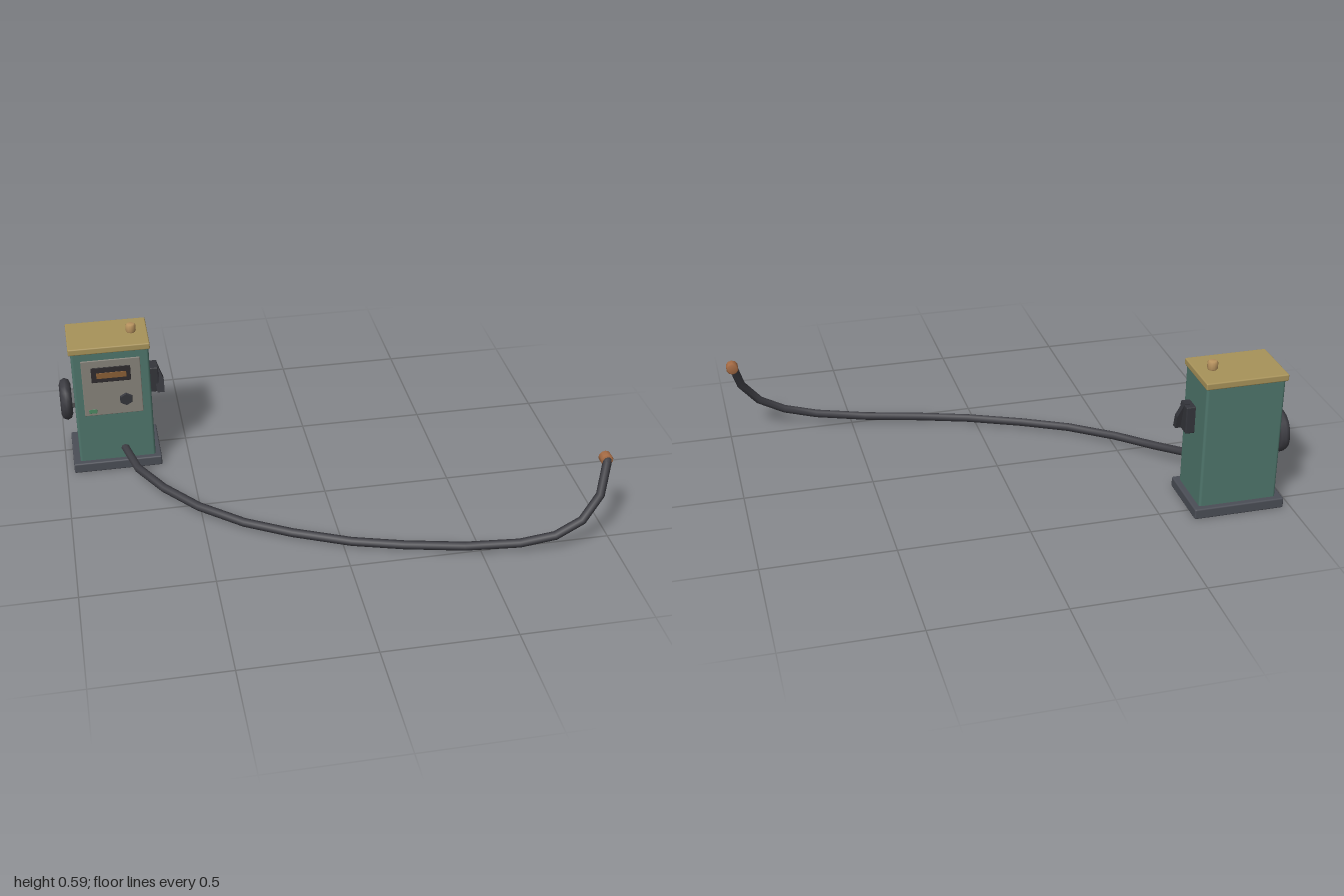
import * as THREE from 'three';
import { RoundedBoxGeometry } from 'three/addons/geometries/RoundedBoxGeometry.js';

const mat = (color) => new THREE.MeshStandardMaterial({ color });
const flat = (color) => new THREE.MeshStandardMaterial({ color, flatShading: true });
const GREEN = mat(0x4f766c), ROOF = mat(0xa8935a), IRON = mat(0x4b4e56), PANEL = mat(0x87837a);
const RUBBER = mat(0x3c3c42), DARK = flat(0x34353b), COPPER = mat(0xa66c45), TAN = mat(0xb8935f);
const SCREEN = mat(0x2f2c2e), AMBER = mat(0x8a5f35), LABEL = mat(0x4c8a63);

export function createModel() {
  const model = new THREE.Group();
  const add = (name, geometry, material, x = 0, y = 0, z = 0) => {
    const mesh = new THREE.Mesh(geometry, material);
    mesh.name = name;
    mesh.position.set(x, y, z);
    model.add(mesh);
    return mesh;
  };
  // Box given by its limits, with softened edges
  const box = (name, material, [x0, x1], [y0, y1], [z0, z1], r) => add(name,
    new RoundedBoxGeometry(x1 - x0, y1 - y0, z1 - z0, 2, r), material,
    (x0 + x1) / 2, (y0 + y1) / 2, (z0 + z1) / 2);

  // Cabinet
  box('base', IRON, [-0.97, -0.615], [0.003, 0.045], [-0.572, -0.315], 0.006);
  box('body', GREEN, [-0.943, -0.638], [0.03, 0.55], [-0.55, -0.337], 0.01);
  box('roof', ROOF, [-0.952, -0.633], [0.534, 0.561], [-0.556, -0.33], 0.005);
  const button = [[0, 0.036], [0.014, 0.036], [0.02, 0.03], [0.02, 0.008], [0.016, 0]];
  add('roofButton', new THREE.LatheGeometry(
    button.map(([r, y]) => new THREE.Vector2(r, y)).reverse(), 12), TAN, -0.697, 0.559, -0.443);

  // Front panel: raised frame, display, dial and small label
  box('frontPanel', PANEL, [-0.907, -0.675], [0.255, 0.503], [-0.345, -0.333], 0.003);
  box('display', SCREEN, [-0.87, -0.715], [0.405, 0.472], [-0.34, -0.331], 0.002);
  box('displayGlow', AMBER, [-0.85, -0.732], [0.422, 0.448], [-0.336, -0.3302], 0.001);
  box('panelLabel', LABEL, [-0.89, -0.858], [0.266, 0.284], [-0.338, -0.3318], 0.001);
  add('dial', new THREE.CylinderGeometry(0.025, 0.03, 0.014, 6), DARK, -0.74, 0.32, -0.331)
    .rotation.x = Math.PI / 2;

  // Hose reel on the outer side: thick ring around a recessed hub
  const ring = add('reelRing', new THREE.TorusGeometry(0.06, 0.026, 8, 16), RUBBER, -0.976, 0.277, -0.45);
  ring.rotation.y = Math.PI / 2;
  ring.scale.z = 0.9;
  add('reelHub', new THREE.CylinderGeometry(0.04, 0.04, 0.03, 8), flat(0x686a6c), -0.955, 0.277, -0.45)
    .rotation.z = Math.PI / 2;

  // Nozzle holder on the inner side, with a lever leaning outwards
  box('nozzleHolder', DARK, [-0.645, -0.603], [0.307, 0.417], [-0.455, -0.387], 0.005);
  const leverShape = new THREE.Shape([[-0.625, 0.418], [-0.605, 0.42], [-0.583, 0.36],
    [-0.583, 0.308], [-0.612, 0.308]].map(([x, y]) => new THREE.Vector2(x, y)));
  const leverGeo = new THREE.ExtrudeGeometry(leverShape, { depth: 0.024, bevelEnabled: false });
  const p = leverGeo.attributes.position;
  // Slant the lever forward towards its foot
  for (let i = 0; i < p.count; i++) p.setZ(i, p.getZ(i) - 0.43 + (0.42 - p.getY(i)) * 0.25);
  leverGeo.computeVertexNormals();
  add('lever', leverGeo, DARK);

  // Hose sagging to the ground and rising to its free end
  const path = new THREE.CatmullRomCurve3([
    [-0.76, 0.09, -0.345], [-0.72, 0.073, -0.2], [-0.63, 0.049, -0.075], [-0.51, 0.037, 0.06],
    [-0.35, 0.03, 0.19], [-0.18, 0.026, 0.285], [0.03, 0.024, 0.38], [0.22, 0.025, 0.44],
    [0.44, 0.028, 0.495], [0.64, 0.045, 0.537], [0.77, 0.075, 0.555], [0.87, 0.13, 0.553],
    [0.94, 0.22, 0.53], [0.972, 0.335, 0.484],
  ].map((q) => new THREE.Vector3(...q)));
  path.getUtoTmapping = (u) => u; // one ring per control point
  add('hose', new THREE.TubeGeometry(path, 13, 0.017, 8), RUBBER);
  add('hoseEnd', new THREE.SphereGeometry(0.017, 8, 6), RUBBER, 0.972, 0.335, 0.484);

  // Copper fitting on the hose end
  const fitting = [[0, 0], [0.019, 0], [0.024, 0.006], [0.024, 0.036], [0.019, 0.042], [0, 0.042]];
  add('hoseFitting', new THREE.LatheGeometry(
    fitting.map(([r, y]) => new THREE.Vector2(r, y)), 10), COPPER, 0.974, 0.335, 0.442)
    .rotation.x = Math.PI / 2;

  return model;
}
